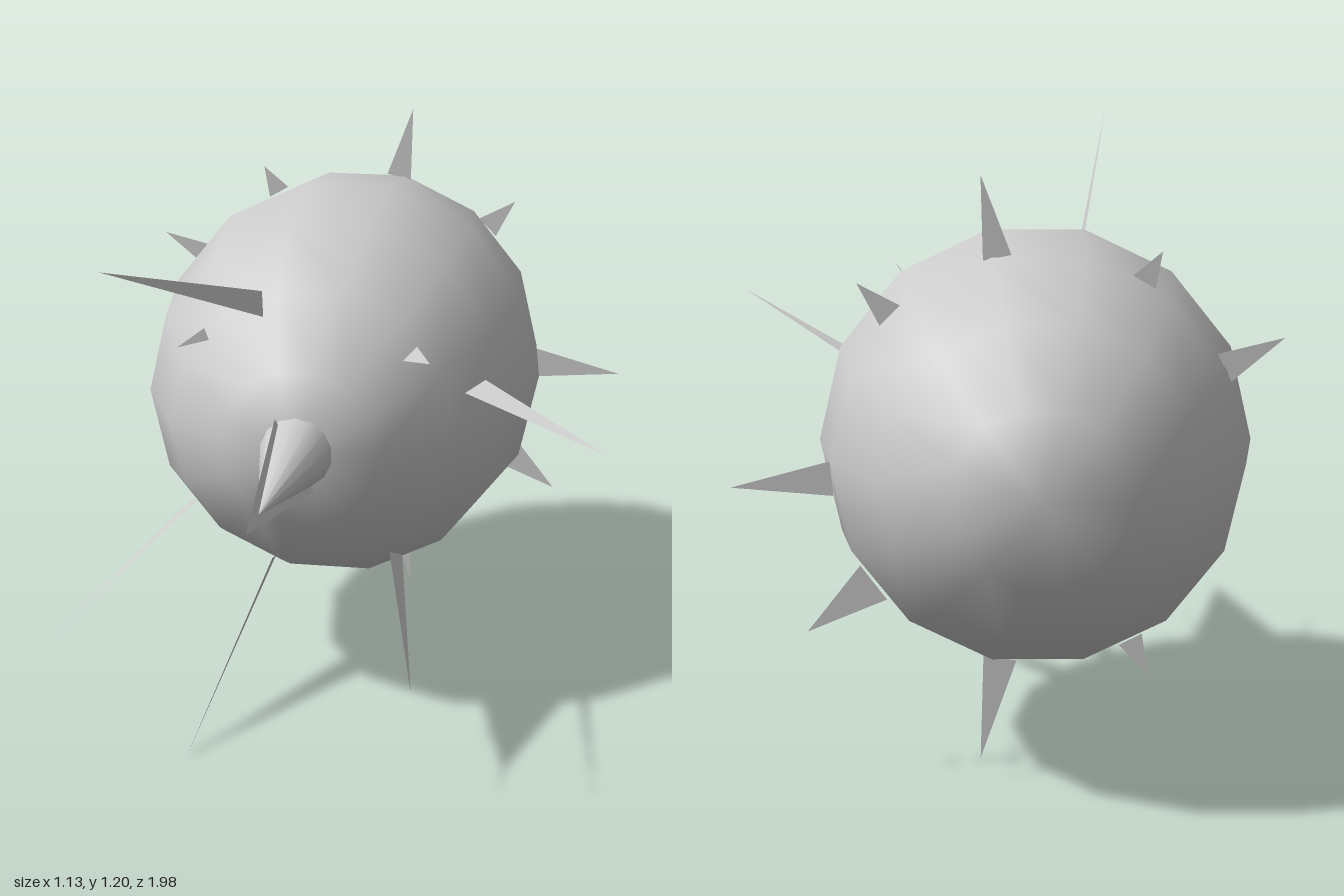
import * as THREE from 'three';

// body centre and radii (across, along)
const CENTRE = new THREE.Vector3(-0.1, 0.643, -0.36);
const R = 0.43, L = 0.64;

export function createModel() {
  const model = new THREE.Group();
  model.name = 'spikyBody';
  const grey = new THREE.MeshStandardMaterial({ color: 0xcccccc, side: THREE.DoubleSide });
  grey.name = 'grey';

  const add = (name, geometry, parent = model) => {
    const mesh = new THREE.Mesh(geometry, grey);
    mesh.name = name;
    parent.add(mesh);
    return mesh;
  };

  // egg-shaped body with its poles along z
  const bodyGeometry = new THREE.SphereGeometry(1, 14, 8);
  bodyGeometry.rotateX(Math.PI / 2);
  bodyGeometry.scale(R, R, L);
  add('body', bodyGeometry).position.copy(CENTRE);

  // nose cone
  const nose = new THREE.ConeGeometry(0.083, 0.41, 14, 1, true);
  nose.rotateX(Math.PI / 2);
  add('noseCone', nose).position.set(CENTRE.x, CENTRE.y, 0.425);

  // flat triangle from a base centre, half-base vector and tip
  const triangle = (base, half, tip) => {
    const geometry = new THREE.BufferGeometry().setFromPoints([
      base.clone().sub(half), base.clone().add(half), tip]);
    geometry.computeVertexNormals();
    return geometry;
  };

  // thin blade over the nose cone
  add('noseBlade', triangle(
    new THREE.Vector3(-0.1, 0.643, 0.27),
    new THREE.Vector3(-0.04, 0.076, 0),
    new THREE.Vector3(-0.1, 0.645, 0.74)));

  // ring of upright spikes around the rear: tip x, tip y, base width
  const ring = new THREE.Group();
  ring.name = 'rearSpikes';
  model.add(ring);
  const ringZ = -0.58;
  const ringRadius = R * Math.sqrt(1 - ((ringZ - CENTRE.z) / L) ** 2) * 0.985;
  [
    [0.01, 1.19, 0.055], [-0.335, 1.045, 0.05], [-0.57, 0.88, 0.06], [0.245, 0.985, 0.055],
    [0.49, 0.59, 0.068], [0.345, 0.305, 0.085], [0.01, 0.05, 0.065], [-0.315, 0.22, 0.05],
  ].forEach(([x, y, width]) => {
    const out = new THREE.Vector3(x - CENTRE.x, y - CENTRE.y, 0).normalize();
    const base = CENTRE.clone().addScaledVector(out, ringRadius).setZ(ringZ);
    const half = new THREE.Vector3(-out.y, out.x, 0).multiplyScalar(width / 2);
    add('rearSpike', triangle(base, half, new THREE.Vector3(x, y, ringZ)), ring);
  });

  // forward-swept spikes: tip x, y, z, base z, base width
  const swept = new THREE.Group();
  swept.name = 'frontSpikes';
  model.add(swept);
  [
    [-0.3, 1.205, 0.98, 0.11, 0.07], [0.2, 0.9, 0.43, 0.12, 0.05], [0.56, 0.81, 0.65, 0.01, 0.08],
    [-0.54, 0.33, 0.54, 0.06, 0.06], [0.16, 0.19, 0.39, 0.02, 0.075], [-0.31, 0.01, 0.4, -0.1, 0.08],
    [-0.34, 0.86, 0.27, 0.1, 0.04],
  ].forEach(([x, y, z, baseZ, width]) => {
    const out = new THREE.Vector3(x - CENTRE.x, y - CENTRE.y, 0).normalize();
    const dz = baseZ - CENTRE.z;
    const r = R * Math.sqrt(1 - (dz / L) ** 2) * 0.985;
    const base = CENTRE.clone().addScaledVector(out, r).setZ(baseZ);
    // base lies along the body surface, in the plane of the z axis
    const half = out.clone().multiplyScalar(-dz / L ** 2).setZ(r / R ** 2).setLength(width / 2);
    add('frontSpike', triangle(base, half, new THREE.Vector3(x, y, z)), swept);
  });

  return model;
}
